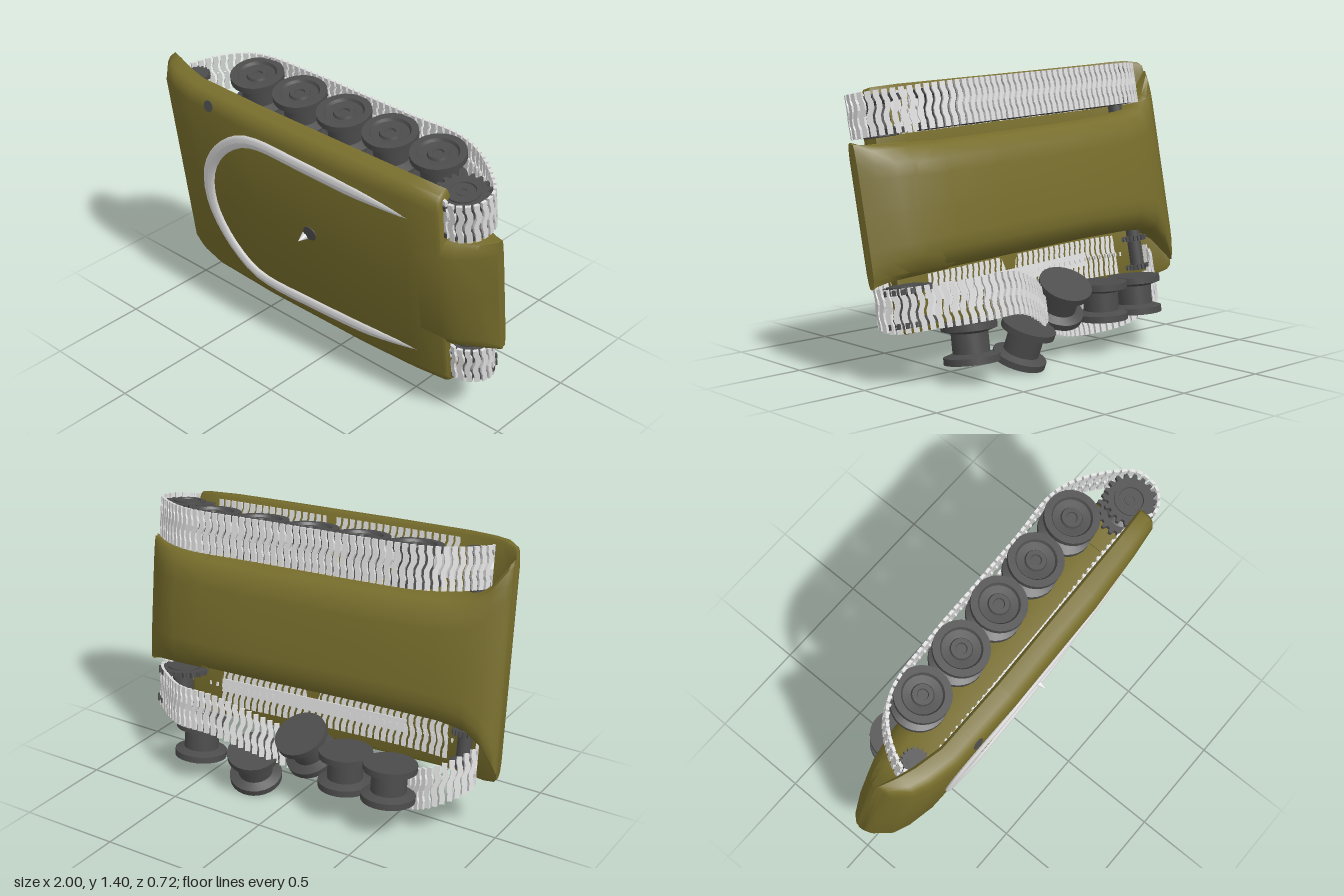
import * as THREE from 'three';
import { mergeGeometries, toCreasedNormals } from 'three/addons/utils/BufferGeometryUtils.js';

const olive = new THREE.MeshStandardMaterial({ color: 0x776d2c });
olive.name = 'olive paint';
const dark = new THREE.MeshStandardMaterial({ color: 0x4c4c4c });
dark.name = 'dark steel';
const pale = new THREE.MeshStandardMaterial({ color: 0xdedede });
pale.name = 'pale metal';

function add(parent, name, geometry, material, x = 0, y = 0, z = 0) {
  const mesh = new THREE.Mesh(geometry, material);
  mesh.name = name;
  mesh.position.set(x, y, z);
  parent.add(mesh);
  return mesh;
}

// Half cross-section of the hull: deck, rounded shoulder, sponson, lower hull, belly
function halfSection([, t, b, w, hw, c]) {
  const h = t - b;
  return [
    [0, t], [w - 0.07, t], [w - 0.025, t - h * 0.15], [w - 0.005, t - h * 0.4], [w, b + h * 0.1], [w - 0.015, b],
    [hw, b], [hw, b + (c - b) * 0.6], [hw - 0.025, b + (c - b) * 0.83], [hw - 0.09, b + (c - b) * 0.97],
    [hw - 0.15, c], [0, c],
  ];
}

// Skin mirrored cross-sections along x and close both ends
function loft(stations) {
  const positions = [], index = [];
  let n = 0;
  for (const s of stations) {
    const half = halfSection(s);
    const ring = [...half, ...half.slice(1, -1).reverse().map(([y, z]) => [-y, z])];
    n = ring.length;
    for (const [y, z] of ring) positions.push(s[0], y, z);
  }
  for (let i = 0; i < stations.length - 1; i++) {
    for (let j = 0; j < n; j++) {
      const a = i * n + j, b = i * n + (j + 1) % n;
      index.push(a, a + n, b, b, a + n, b + n);
    }
  }
  const last = (stations.length - 1) * n;
  for (let j = 0; j < n / 2; j++) {
    const r0 = j, r1 = j + 1, l0 = (n - j) % n, l1 = n - j - 1;
    index.push(last + l0, last + l1, last + r1, last + l0, last + r1, last + r0);
    index.push(l0, r1, l1, l0, r0, r1);
  }
  const g = new THREE.BufferGeometry();
  g.setAttribute('position', new THREE.Float32BufferAttribute(positions, 3));
  g.setIndex(index);
  return toCreasedNormals(g, 0.85);
}

// Spool-shaped road wheel with one dished face, turning about y
function wheelGeometry(r, half) {
  const p = [
    [0, -1], [1, -1], [1, -0.66], [0.66, -0.5], [0.66, 0.5], [1, 0.66], [1, 1], [0.74, 1],
    [0.68, 0.85], [0.4, 0.82], [0.36, 0.95], [0.2, 0.95], [0.18, 0.85], [0, 0.85],
  ].map(([a, b]) => new THREE.Vector2(a * r, b * half));
  return toCreasedNormals(new THREE.LatheGeometry(p, 28), 0.5);
}

// Toothed disc turning about y
function gearGeometry(r, depth) {
  const s = new THREE.Shape();
  const teeth = 18;
  for (let i = 0; i < teeth; i++) {
    [[0, 0.84], [0.35, 0.84], [0.5, 1], [0.8, 1]].forEach(([o, k], j) => {
      const a = (i + o) / teeth * Math.PI * 2;
      s[i + j ? 'lineTo' : 'moveTo'](Math.cos(a) * r * k, Math.sin(a) * r * k);
    });
  }
  const g = new THREE.ExtrudeGeometry(s, { depth, bevelEnabled: false });
  return g.translate(0, 0, -depth / 2).rotateX(Math.PI / 2);
}

// One wavy track link: x along the track, y across it, z through it
function linkGeometry() {
  const wave = [[-0.1, 0], [-0.06, 0], [-0.04, 0.007], [-0.01, 0.007], [0.02, -0.006], [0.05, -0.006], [0.07, 0.002], [0.1, 0.002]];
  const w = 0.0125;
  const outline = [
    ...wave.map(([y, x]) => new THREE.Vector2(x + w, y)),
    ...wave.slice().reverse().map(([y, x]) => new THREE.Vector2(x - w, y)),
  ];
  const plate = new THREE.ExtrudeGeometry(new THREE.Shape(outline), { depth: 0.014, bevelEnabled: false });
  plate.translate(0, 0, -0.007);
  const guide = new THREE.BoxGeometry(0.01, 0.02, 0.016).translate(0, 0, 0.01).toNonIndexed();
  return mergeGeometries([plate, guide]);
}

// Closed chain of links following a path, every link lying along the given axis
function trackGeometry(points, axis) {
  const curve = new THREE.CatmullRomCurve3(points, true, 'centripetal');
  const count = Math.round(curve.getLength() / 0.037);
  const link = linkGeometry(), parts = [];
  for (let i = 0; i < count; i++) {
    const u = i / count;
    const n = new THREE.Vector3().crossVectors(curve.getTangentAt(u), axis).normalize();
    const along = new THREE.Vector3().crossVectors(axis, n);
    const m = new THREE.Matrix4().makeBasis(along, axis, n).setPosition(curve.getPointAt(u));
    parts.push(link.clone().applyMatrix4(m));
  }
  return mergeGeometries(parts);
}

// Flattened horseshoe tube whose arms thin out and sink into the deck
function railGeometry() {
  const arm = [
    [0.68, 0.395, 0.236], [0.35, 0.422, 0.256], [0, 0.438, 0.262], [-0.26, 0.443, 0.262],
    [-0.37, 0.415, 0.262], [-0.5, 0.315, 0.257], [-0.59, 0.19, 0.252], [-0.63, 0.07, 0.25],
  ];
  const points = [...arm, ...arm.slice().reverse().map(([x, y, z]) => [x, -y, z])]
    .map(([x, y, z]) => new THREE.Vector3(x + (x < 0 ? y * 0.07 : 0), y, z));
  const curve = new THREE.CatmullRomCurve3(points, false, 'centripetal');
  const segments = 48, sides = 10;
  const g = new THREE.TubeGeometry(curve, segments, 0.034, sides);
  const pos = g.attributes.position;
  for (let i = 0; i < pos.count; i++) {
    const c = curve.getPointAt(Math.floor(i / (sides + 1)) / segments);
    const k = THREE.MathUtils.clamp((0.72 - c.x) / 0.4, 0.04, 1);
    pos.setXYZ(i, c.x + (pos.getX(i) - c.x) * k, c.y + (pos.getY(i) - c.y) * k, c.z + (pos.getZ(i) - c.z) * k * 0.4);
  }
  g.computeVertexNormals();
  return g;
}

export function createModel() {
  const root = new THREE.Group();
  root.name = 'trackedHull';

  // Tilted frame: x along the hull, y across it, z out of the deck
  const hull = new THREE.Group();
  hull.name = 'hull';
  hull.position.set(0, 0.82, 0);
  hull.rotation.set(0.17, 0.035, -0.04);
  root.add(hull);

  // Main body, columns: x, deck, sponson floor, half width, lower half width, belly
  add(hull, 'body', loft([
    [-0.98, 0.07, 0.02, 0.53, 0.5, 0.0],
    [-0.965, 0.105, 0.03, 0.55, 0.475, -0.025],
    [-0.9, 0.175, 0.06, 0.567, 0.38, -0.06],
    [-0.82, 0.21, 0.09, 0.57, 0.32, -0.085],
    [-0.68, 0.242, 0.125, 0.57, 0.3, -0.108],
    [-0.3, 0.26, 0.135, 0.57, 0.29, -0.125],
    [0.3, 0.26, 0.135, 0.57, 0.29, -0.125],
    [0.6, 0.245, 0.135, 0.57, 0.29, -0.113],
    [0.765, 0.23, 0.13, 0.565, 0.295, -0.085],
    [0.78, 0.22, 0.135, 0.55, 0.295, -0.08],
  ]), olive);

  // Sloping end between the sprockets
  add(hull, 'endPlate', loft([
    [0.6, 0.244, 0.13, 0.31, 0.295, -0.108],
    [0.765, 0.232, 0.12, 0.31, 0.298, -0.085],
    [0.84, 0.205, 0.11, 0.31, 0.3, -0.06],
    [0.92, 0.15, 0.085, 0.315, 0.305, -0.01],
    [0.985, 0.085, 0.06, 0.328, 0.318, 0.04],
  ]), olive);

  // Deck rail and small fittings
  add(hull, 'deckRail', railGeometry(), pale);
  const disc = (r, h) => new THREE.CylinderGeometry(r, r, h, 20).rotateX(Math.PI / 2);
  add(hull, 'cornerCap', disc(0.028, 0.016), dark, -0.55, 0.517, 0.236).rotation.x = -0.3;
  add(hull, 'centreCap', disc(0.038, 0.01), dark, 0.035, 0.037, 0.26);
  add(hull, 'deckPin', new THREE.ConeGeometry(0.02, 0.05, 12).rotateX(Math.PI / 2), pale, 0, 0.005, 0.285);

  // Bright strips under the sponsons
  for (const side of [1, -1]) {
    add(hull, 'sponsonStrip', new THREE.BoxGeometry(1.05, 0.065, 0.009), pale, 0.07, side * 0.41, 0.128);
  }

  // Upper running gear
  const wheel = wheelGeometry(0.13, 0.092);
  for (let i = 0; i < 5; i++) add(hull, 'roadWheel', wheel, dark, -0.535 + i * 0.271, 0.432, -0.08 - i * 0.001);
  const loop = [
    [0.925, 0.02], [0.915, 0.13], [0.83, 0.19], [0.68, 0.142], [0, 0.142], [-0.62, 0.132], [-0.78, 0.13],
    [-0.845, 0.08], [-0.82, 0], [-0.72, -0.13], [-0.6, -0.195], [-0.3, -0.215], [0, -0.215], [0.3, -0.215],
    [0.56, -0.22], [0.7, -0.175], [0.85, -0.07],
  ].map(([x, z]) => new THREE.Vector3(x, 0.44, z));
  add(hull, 'upperTrack', trackGeometry(loop, new THREE.Vector3(0, 1, 0)), pale);

  // Sprockets and idlers on both flanks
  const gear = gearGeometry(0.128, 0.025), smallGear = gearGeometry(0.065, 0.025);
  const hub = wheelGeometry(0.08, 0.095);
  const shaft = new THREE.CylinderGeometry(0.035, 0.035, 0.24, 16);
  for (const side of [1, -1]) {
    for (const o of [-0.075, 0.075]) {
      add(hull, 'sprocketRing', gear, dark, 0.8, side * 0.43 + o, 0.07);
      add(hull, 'idlerRing', smallGear, dark, -0.785, side * 0.43 + o, 0.08);
    }
    add(hull, 'sprocketHub', hub, dark, 0.8, side * 0.43, 0.07).rotation.x = side > 0 ? 0 : Math.PI;
    add(hull, 'idlerShaft', shaft, dark, -0.785, side * 0.4, 0.08);
  }

  // Loose lower wheels: x, y, z, tilt about x, tilt about z
  for (const [x, y, z, rx, rz] of [
    [-0.535, 0.26, -0.2, 0.1, 0], [-0.295, 0.26, -0.2, 0.05, 0], [-0.055, 0.295, -0.165, -0.5, -0.1],
    [0.225, 0.13, -0.205, -0.3, 0.12], [0.55, 0.185, -0.2, 0.14, 0],
  ]) {
    add(root, 'looseWheel', wheel, dark, x, y, z).rotation.set(rx + Math.PI, 0, -rz);
  }

  // Slack lower track, its straight run tucked into the sponson
  const slack = [
    [0.9, 0.35, -0.06], [0.9, 0.355, 0.03], [0.82, 0.355, 0.09], [0.66, 0.365, 0.05], [0, 0.39, 0.07],
    [-0.62, 0.405, 0.085], [-0.79, 0.39, 0.08], [-0.87, 0.34, 0.02], [-0.82, 0.3, -0.07], [-0.72, 0.25, -0.13],
    [-0.56, 0.18, -0.09], [-0.38, 0.157, -0.05], [-0.18, 0.175, -0.065], [-0.04, 0.22, -0.11], [0.06, 0.26, -0.175],
    [0.2, 0.34, -0.268], [0.38, 0.41, -0.33], [0.58, 0.405, -0.32], [0.75, 0.38, -0.21],
  ].map((p) => new THREE.Vector3(...p));
  add(root, 'lowerTrack', trackGeometry(slack, new THREE.Vector3(0.04, 0.985, 0.17).normalize()), pale);

  return root;
}
